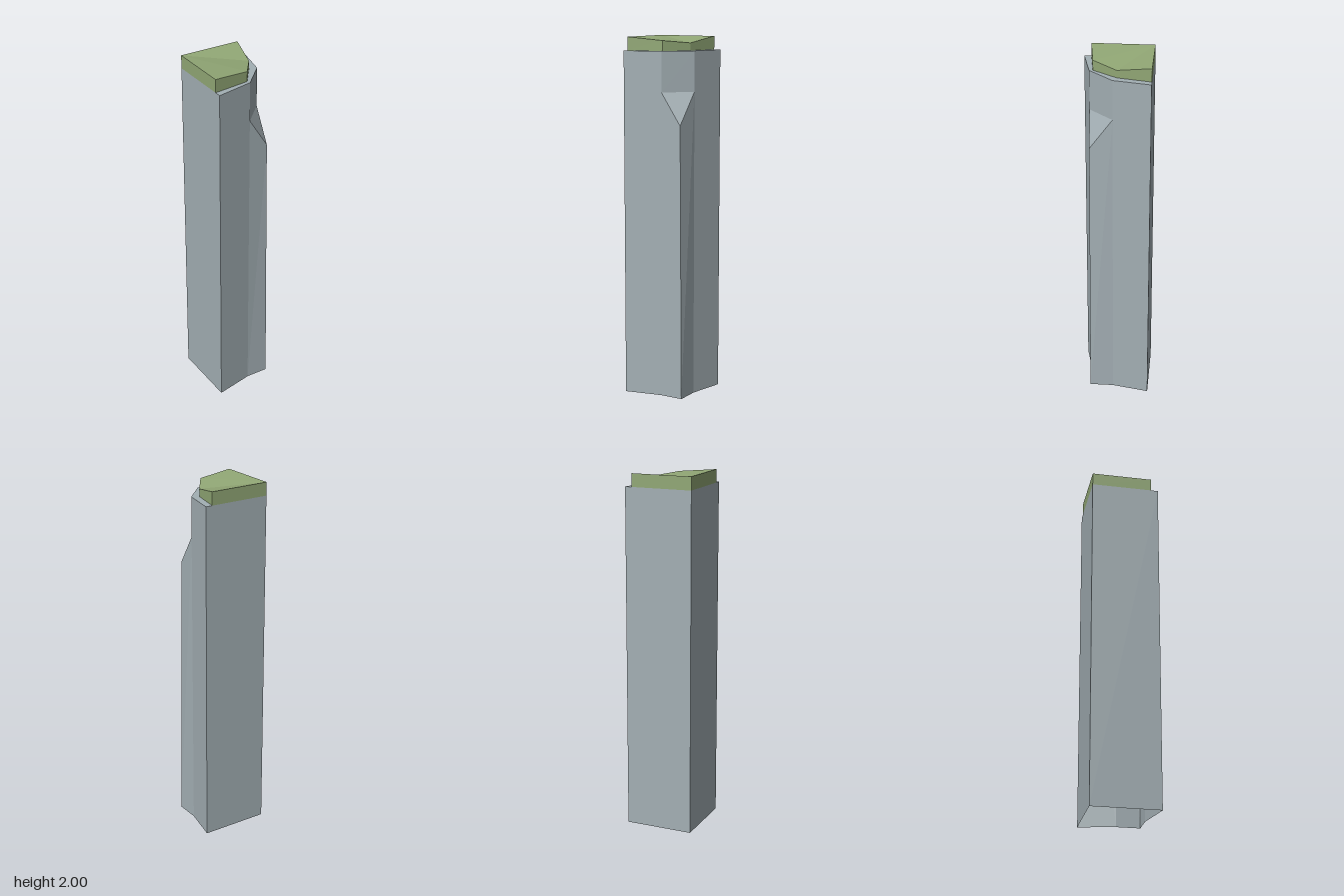
import * as THREE from 'three';

// Flat-shaded mesh from convex polygons (corners counter-clockwise from outside)
function polyMesh(name, faces, color) {
  const pos = [];
  for (const f of faces)
    for (let i = 1; i < f.length - 1; i++) pos.push(...f[0], ...f[i], ...f[i + 1]);
  const geo = new THREE.BufferGeometry();
  geo.setAttribute('position', new THREE.Float32BufferAttribute(pos, 3));
  geo.computeVertexNormals();
  const mat = new THREE.MeshStandardMaterial({ color, flatShading: true, side: THREE.DoubleSide });
  const mesh = new THREE.Mesh(geo, mat);
  mesh.name = name;
  return mesh;
}

const at = ([x, z], y) => [x, y, z];
const wall = (a, b, y0, y1) => [at(a, y0), at(b, y0), at(b, y1), at(a, y1)];

export function createModel() {
  const group = new THREE.Group();
  group.name = 'tower';

  // Plan outlines [x, z]: back left, front left, front notch, side notch, back right
  const outer = [[-0.192, -0.192], [-0.192, 0.192], [0.02, 0.145], [0.148, 0.012], [0.192, -0.192]];
  const inner = [[-0.192, -0.192], [-0.192, 0.153], [0.014, 0.126], [0.11, -0.007], [0.153, -0.192]];
  const roofY = 1.927, notchY = 1.706, tipY = 1.53;
  const n = outer.length;
  const [, , notchA, notchB] = outer;

  // Shaft walls; the wall between the notch points is the chamfer above the corner
  const shaft = outer.map((p, i) => wall(p, outer[(i + 1) % n], i === 2 ? notchY : 0, roofY));

  // Projecting corner that ends in a sloped triangle
  const foot = [0.148, 0, 0.145], tip = [0.134, tipY, 0.138];
  const corner = [
    [at(notchA, 0), foot, tip, at(notchA, notchY)],
    [foot, at(notchB, 0), at(notchB, notchY), tip],
    [at(notchA, notchY), tip, at(notchB, notchY)],
  ];

  // Narrow ledge around the roof
  const ledge = [1, 2, 3].map(i =>
    [at(outer[i], roofY), at(outer[i + 1], roofY), at(inner[i + 1], roofY), at(inner[i], roofY)]);
  group.add(polyMesh('shaft', [...shaft, ...corner, ...ledge], 0xa3afb4));

  // Roof cap, dipping towards the chamfered corner
  const capY = [2, 2, 1.983, 1.968, 2];
  const rim = inner.map((p, i) => at(p, capY[i]));
  const sides = inner.map((p, i) => {
    const j = (i + 1) % n;
    return [at(p, roofY), at(inner[j], roofY), rim[j], rim[i]];
  });
  group.add(polyMesh('roofCap', [...sides, rim], 0x91a775));

  return group;
}
